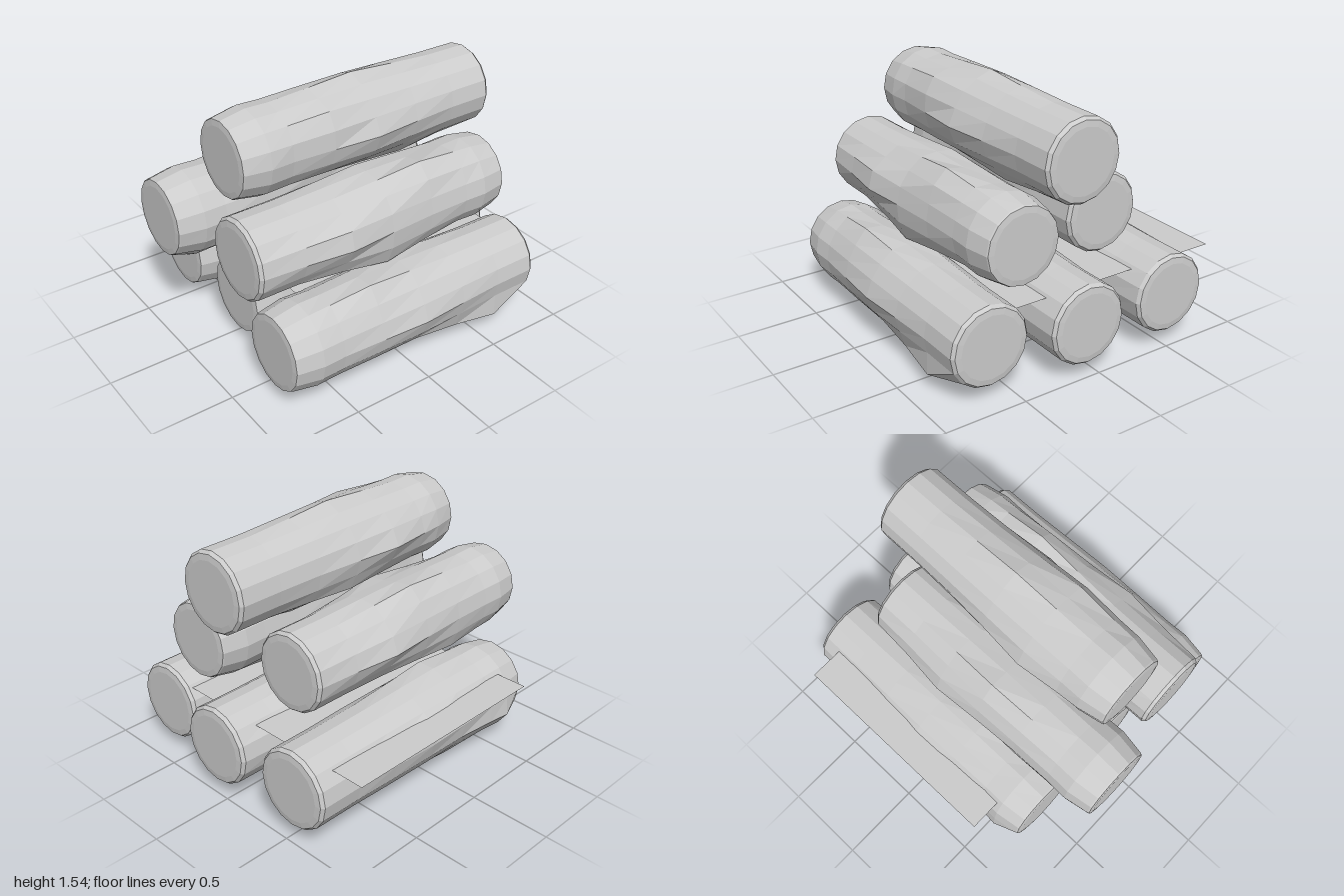
import * as THREE from 'three';

const SIDES = 16;
const material = new THREE.MeshStandardMaterial({ color: 0xcccccc, flatShading: true });
const sheetMaterial = new THREE.MeshStandardMaterial({ color: 0xcccccc, side: THREE.DoubleSide });

// Log profile from the back cap to the tapered front cap: [radius, z]
const PROFILE = [
  [0, -0.855], [0.19, -0.855], [0.226, -0.85], [0.242, -0.83], [0.243, -0.57], [0.25, -0.29],
  [0.255, 0], [0.255, 0.29], [0.252, 0.55], [0.257, 0.69], [0.231, 0.84],
  [0.226, 0.85], [0.19, 0.855], [0, 0.855],
];

// Each log: position, whether the tapered end faces back, and knots [angle in degrees, z, height]
const LOGS = [
  { name: 'bottomLogRight', at: [-0.525, 0.32, -0.13], knots: [
    [265, 0.29, 0.07], [160, 0, 0.035], [212, 0.69, 0.035], [316, 0, 0.07], [70, 0.29, 0.035], [20, -0.29, 0.02]] },
  { name: 'bottomLogMiddle', at: [0.08, 0.32, -0.15], knots: [
    [82, 0.29, 0.05], [170, -0.29, 0.02], [40, 0.29, 0.04], [130, 0, 0.025], [265, 0, 0.03], [335, 0.29, 0.04]] },
  { name: 'bottomLogLeft', at: [0.645, 0.32, -0.04], knots: [
    [68, 0.29, 0.045], [0, 0, 0.025], [310, -0.57, 0.08], [165, 0.29, 0.04], [225, 0, 0.035], [115, 0, 0.02]] },
  { name: 'middleLogRight', at: [-0.23, 0.8, 0.145], knots: [
    [175, -0.29, 0.04], [116, 0, 0.04], [270, 0.69, 0.06], [225, 0.29, 0.03], [38, 0, 0.05], [320, 0.29, 0.02]] },
  { name: 'middleLogLeft', at: [0.4, 0.81, 0.02], flip: true, knots: [
    [10, 0.29, 0.05], [62, -0.29, 0.05], [265, -0.29, 0.06], [320, 0, 0.06], [160, 0.29, 0.025], [110, 0, 0.02]] },
  { name: 'topLog', at: [0.1, 1.25, -0.09], knots: [
    [88, 0, 0.03], [178, 0.29, 0.045], [356, 0, 0.035], [275, -0.29, 0.06], [36, 0.29, 0.035], [225, 0, 0.025]] },
];

// Lathe a log along z, then push its surface out at the knots
function makeLog({ name, at, flip, knots }) {
  const points = PROFILE.map(([r, z]) => new THREE.Vector2(r, z));
  const geometry = new THREE.LatheGeometry(points, SIDES).rotateX(Math.PI / 2);
  if (flip) geometry.rotateY(Math.PI);
  const p = geometry.attributes.position;
  for (let i = 0; i < p.count; i++) {
    const x = p.getX(i), y = p.getY(i), z = p.getZ(i);
    const r = Math.hypot(x, y);
    if (Math.abs(z) > 0.8 || r < 0.1) continue;
    const angle = Math.atan2(y, x);
    let push = 0;
    for (const [degrees, kz, height] of knots) {
      const d = angle - degrees * Math.PI / 180;
      const turn = Math.abs(Math.atan2(Math.sin(d), Math.cos(d)));
      const across = Math.max(0, 1 - Math.max(0, turn - 0.15) / 0.33);
      const along = Math.max(0, 1 - Math.max(0, Math.abs(z - kz) - 0.04) / 0.4);
      push = Math.max(push, height * across * along);
    }
    const k = (r + push) / r;
    p.setXY(i, x * k, y * k);
  }
  geometry.computeVertexNormals();
  const log = new THREE.Mesh(geometry, material);
  log.name = name;
  log.position.set(...at);
  return log;
}

export function createModel() {
  const group = new THREE.Group();
  group.name = 'logPile';
  for (const log of LOGS) group.add(makeLog(log));

  // Thin flat sheet lying between the bottom and middle rows
  const sheet = new THREE.Mesh(new THREE.PlaneGeometry(1.38, 1.38).rotateX(-Math.PI / 2), sheetMaterial);
  sheet.name = 'flatSheet';
  sheet.position.set(-0.23, 0.475, -0.16);
  group.add(sheet);
  return group;
}
